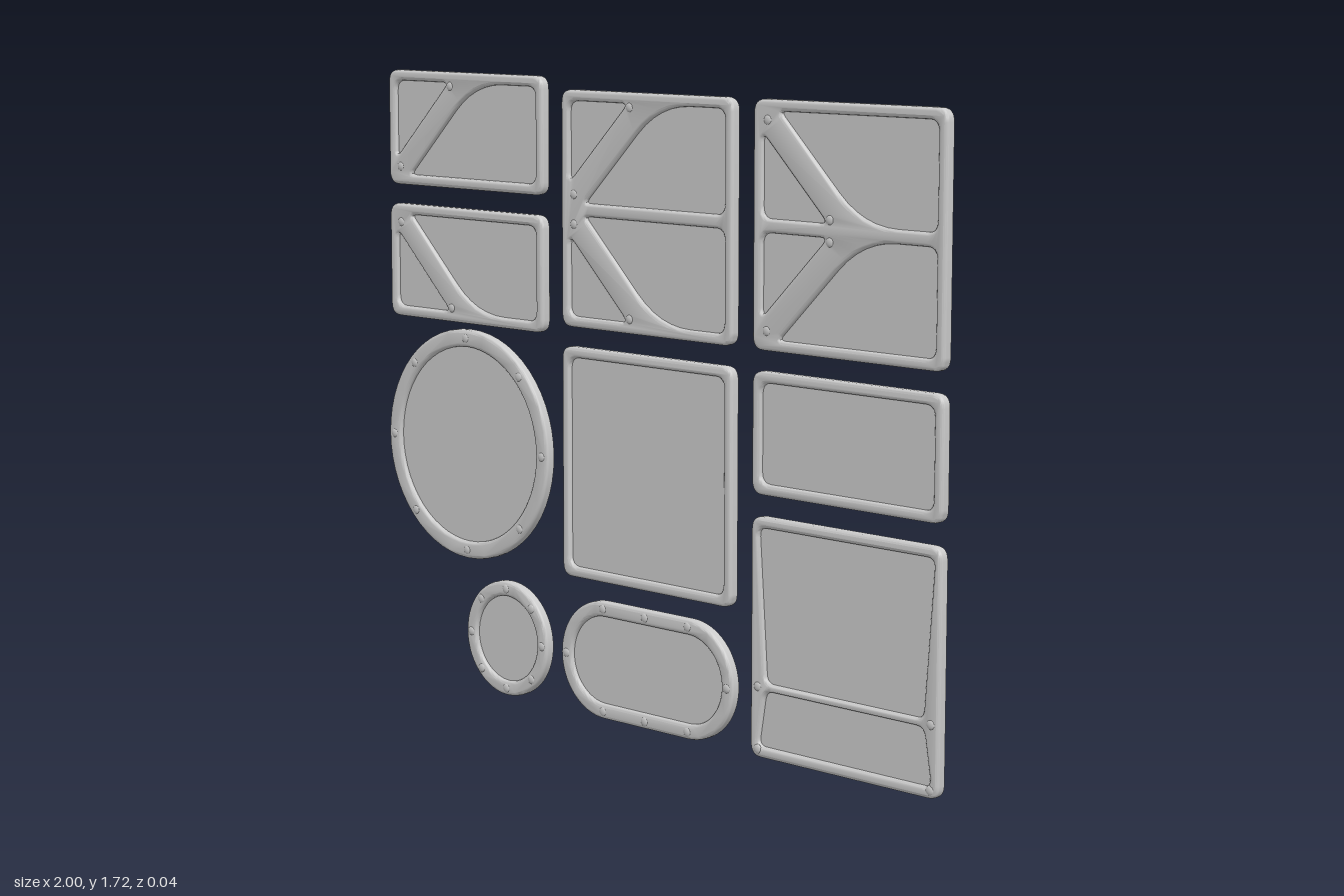
import * as THREE from 'three';
import { toCreasedNormals } from 'three/addons/utils/BufferGeometryUtils.js';

const HALF = 0.016; // half thickness of a frame
const MARGIN = 0.029; // width of the straight frame edges
const material = new THREE.MeshStandardMaterial({ color: 0xcccccc });
const rivetGeometry = new THREE.SphereGeometry(0.013, 12, 8).scale(1, 1, 0.4);

// Polygon with rounded corners; each point is [x, y, rounding]
function roundedPoly(points) {
  const shape = new THREE.Shape();
  const n = points.length;
  const toward = (a, b) => {
    const from = new THREE.Vector2(a[0], a[1]);
    const dir = new THREE.Vector2(b[0], b[1]).sub(from).normalize();
    return from.addScaledVector(dir, a[2]);
  };
  points.forEach((p, i) => {
    const start = toward(p, points[(i + n - 1) % n]);
    const end = toward(p, points[(i + 1) % n]);
    if (i === 0) shape.moveTo(start.x, start.y);
    else shape.lineTo(start.x, start.y);
    shape.quadraticCurveTo(p[0], p[1], end.x, end.y);
  });
  shape.closePath();
  return shape;
}

function rect(x0, y0, x1, y1, r = 0.035) {
  return roundedPoly([[x0, y0, r], [x1, y0, r], [x1, y1, r], [x0, y1, r]]);
}

function circle(x, y, r) {
  return new THREE.Shape().absarc(x, y, r, 0, Math.PI * 2, false);
}

function stadium(x, y, halfStraight, r) {
  const shape = new THREE.Shape();
  shape.absarc(x + halfStraight, y, r, -Math.PI / 2, Math.PI / 2, false);
  shape.absarc(x - halfStraight, y, r, Math.PI / 2, Math.PI * 1.5, false);
  shape.closePath();
  return shape;
}

// Frame with openings, an inset pane and rivets on both faces
function makeWindow(name, outline, openings, rivets, center, curveSegments = 6) {
  const group = new THREE.Group();
  group.name = name;
  const bevel = 0.009;
  outline.holes = openings;
  const frameGeometry = new THREE.ExtrudeGeometry(outline, {
    depth: 2 * (HALF - bevel), curveSegments,
    bevelSize: bevel, bevelThickness: bevel, bevelOffset: -bevel, bevelSegments: 3,
  }).translate(0, 0, -(HALF - bevel));
  const frame = new THREE.Mesh(toCreasedNormals(frameGeometry, 0.7), material);
  frame.name = 'frame';
  group.add(frame);

  const paneShape = outline.clone();
  paneShape.holes = [];
  const paneGeometry = new THREE.ExtrudeGeometry(paneShape, { depth: 0.008, curveSegments, bevelEnabled: false })
    .translate(-center[0], -center[1], -0.004)
    .scale(0.96, 0.96, 1)
    .translate(center[0], center[1], 0);
  const pane = new THREE.Mesh(paneGeometry, material);
  pane.name = 'pane';
  group.add(pane);

  for (const [x, y] of rivets) {
    for (const side of [-1, 1]) {
      const rivet = new THREE.Mesh(rivetGeometry, material);
      rivet.name = 'rivet';
      rivet.position.set(x, y, side * (HALF - 0.002));
      group.add(rivet);
    }
  }
  return group;
}

// Corner triangle and large opening split by a diagonal bar.
// yCorner is the edge with the triangle, yFar the opposite edge.
function bracedOpenings(x0, x1, yCorner, yFar) {
  const s = Math.sign(yFar - yCorner);
  const h = Math.abs(yFar - yCorner);
  const c = 0.03;
  return {
    openings: [
      roundedPoly([[x0, yCorner, c], [x0 + 0.215, yCorner, 0.025], [x0, yCorner + s * 0.215, 0.025]]),
      roundedPoly([
        [x0 + 0.055, yFar, 0.02], [x0 + 0.055 + h, yCorner, 0.11],
        [x1, yCorner, c], [x1, yFar, c],
      ]),
    ],
    rivets: [[x0 + 0.225, yCorner + s * 0.01], [x0 + 0.02, yFar - s * 0.022]],
  };
}

// Rectangular window with one or two braced halves: [yCorner, yFar] each
function bracedWindow(name, cx, y0, y1, halves) {
  const w = 0.308;
  const parts = halves.map(([a, b]) => bracedOpenings(cx - w + MARGIN, cx + w - MARGIN, a, b));
  return makeWindow(name, rect(cx - w, y0, cx + w, y1),
    parts.flatMap((p) => p.openings), parts.flatMap((p) => p.rivets), [cx, (y0 + y1) / 2]);
}

function plainWindow(name, cx, y0, y1) {
  const w = 0.308;
  return makeWindow(name, rect(cx - w, y0, cx + w, y1),
    [rect(cx - w + MARGIN, y0 + MARGIN, cx + w - MARGIN, y1 - MARGIN, 0.03)], [], [cx, (y0 + y1) / 2]);
}

function roundWindow(name, cx, cy, outer, inner) {
  const r = (outer + inner) / 2;
  const rivets = Array.from({ length: 8 }, (_, i) => {
    const a = (i * Math.PI) / 4;
    return [cx + r * Math.cos(a), cy + r * Math.sin(a)];
  });
  return makeWindow(name, circle(cx, cy, outer), [circle(cx, cy, inner)], rivets, [cx, cy], 28);
}

export function createModel() {
  const model = new THREE.Group();
  model.name = 'windowSet';
  const [left, middle, right] = [-0.678, 0.008, 0.692];

  // Braced windows of the upper rows
  const top = 1.686 - MARGIN, bottom = 1.055 + MARGIN;
  const barTop = 1.388, barBottom = 1.353;
  model.add(
    bracedWindow('upperHalfWindow', left, 1.399, 1.718, [[1.718 - MARGIN, 1.399 + MARGIN]]),
    bracedWindow('lowerHalfWindow', left, 1.028, 1.345, [[1.028 + MARGIN, 1.345 - MARGIN]]),
    bracedWindow('outwardBracedWindow', middle, 1.055, 1.686, [[top, barTop], [bottom, barBottom]]),
    bracedWindow('inwardBracedWindow', right, 1.055, 1.686, [[barTop, top], [barBottom, bottom]]),
  );

  // Plain windows
  model.add(
    plainWindow('squareWindow', middle, 0.375, 1.002),
    plainWindow('wideWindow', right, 0.685, 1.002),
  );

  // Portholes
  model.add(
    roundWindow('largePorthole', left, 0.689, 0.322, 0.274),
    roundWindow('smallPorthole', -0.523, 0.162, 0.161, 0.12),
  );

  // Oval window
  const ovalY = 0.162;
  const ovalRivets = [[middle - 0.294, ovalY], [middle + 0.294, ovalY]];
  for (const dx of [-0.155, 0, 0.155]) {
    for (const dy of [-0.141, 0.141]) ovalRivets.push([middle + dx, ovalY + dy]);
  }
  model.add(makeWindow('ovalWindow', stadium(middle, ovalY, 0.154, 0.161),
    [stadium(middle, ovalY, 0.154, 0.12)], ovalRivets, [middle, ovalY], 16));

  // Window with two tapered openings
  const taper = (y0, half0, y1, half1) => roundedPoly([
    [right - half0, y0, 0.025], [right + half0, y0, 0.025],
    [right + half1, y1, 0.025], [right - half1, y1, 0.025],
  ]);
  const taperRivets = [-0.282, 0.282].flatMap((dx) => [[right + dx, 0.187], [right + dx, 0.022]]);
  model.add(makeWindow('taperedWindow', rect(right - 0.308, 0, right + 0.308, 0.629),
    [taper(0.197, 0.257, 0.6, 0.286), taper(0.029, 0.283, 0.177, 0.259)],
    taperRivets, [right, 0.3145]));

  return model;
}
